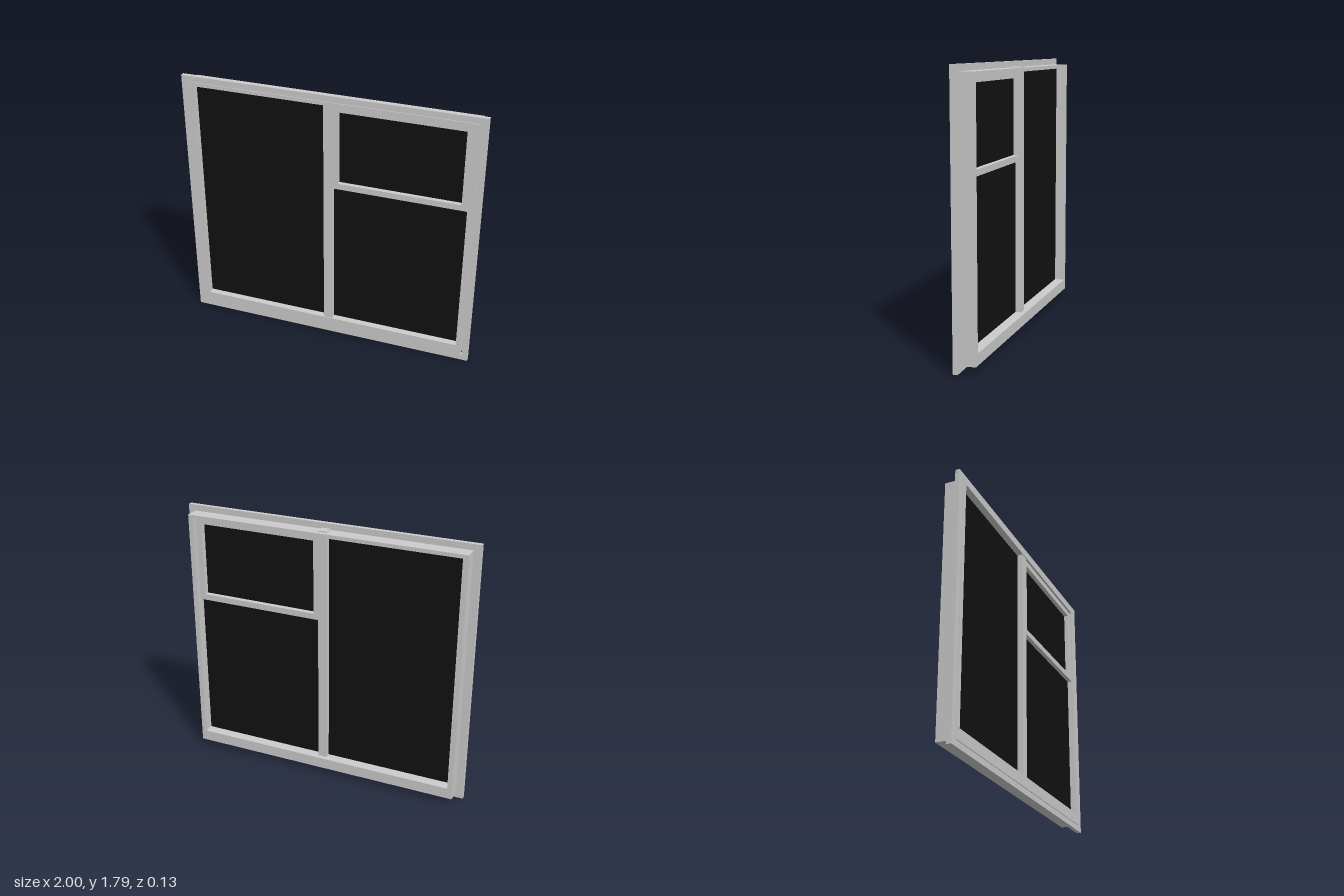
import * as THREE from 'three';

const frameMat = new THREE.MeshStandardMaterial({ color: 0xcccccc });
const glassMat = new THREE.MeshStandardMaterial({ color: 0x111111 });

// Box given by its limits on each axis
function block(name, [x0, x1], [y0, y1], [z0, z1], material = frameMat) {
  const mesh = new THREE.Mesh(new THREE.BoxGeometry(x1 - x0, y1 - y0, z1 - z0), material);
  mesh.position.set((x0 + x1) / 2, (y0 + y1) / 2, (z0 + z1) / 2);
  mesh.name = name;
  return mesh;
}

function rectangle(path, [x0, x1], [y0, y1]) {
  path.moveTo(x0, y0);
  path.lineTo(x1, y0);
  path.lineTo(x1, y1);
  path.lineTo(x0, y1);
  path.closePath();
  return path;
}

// Rectangular ring with a rectangular opening, extruded from z0 to z1
function ring(name, outerX, outerY, innerX, innerY, [z0, z1]) {
  const shape = rectangle(new THREE.Shape(), outerX, outerY);
  shape.holes.push(rectangle(new THREE.Path(), innerX, innerY));
  const geometry = new THREE.ExtrudeGeometry(shape, { depth: z1 - z0, bevelEnabled: false });
  const mesh = new THREE.Mesh(geometry, frameMat);
  mesh.position.z = z0;
  mesh.name = name;
  return mesh;
}

export function createModel() {
  const group = new THREE.Group();
  group.name = 'window';

  const openX = [-0.915, 0.915];
  const openY = [0.115, 1.725];
  const glassZ = [0.005, 0.02];

  // Thin outer flange, with a narrow gap beside the frame on one side
  group.add(ring('flange', [-1, 1], [0, 1.79], [-0.95, 0.96], [0.04, 1.75], [0.03, 0.06]));

  // Deep main frame with a taller sill
  group.add(ring('mainFrame', [-0.95, 0.95], [0.04, 1.75], openX, openY, [-0.065, 0.065]));

  // Central mullion, its end showing slightly above the frame
  group.add(block('mullion', [-0.03, 0.03], [0.1, 1.757], [-0.035, 0.06]));

  // Upper sash
  group.add(ring('upperSash', [0.03, 0.915], [1.145, 1.725], [0.065, 0.875], [1.185, 1.685], [-0.03, 0.05]));

  // Panes
  group.add(block('largePane', [-0.915, -0.03], openY, glassZ, glassMat));
  group.add(block('lowerPane', [0.03, 0.915], [0.115, 1.145], glassZ, glassMat));
  group.add(block('upperPane', [0.065, 0.875], [1.185, 1.685], glassZ, glassMat));

  return group;
}
